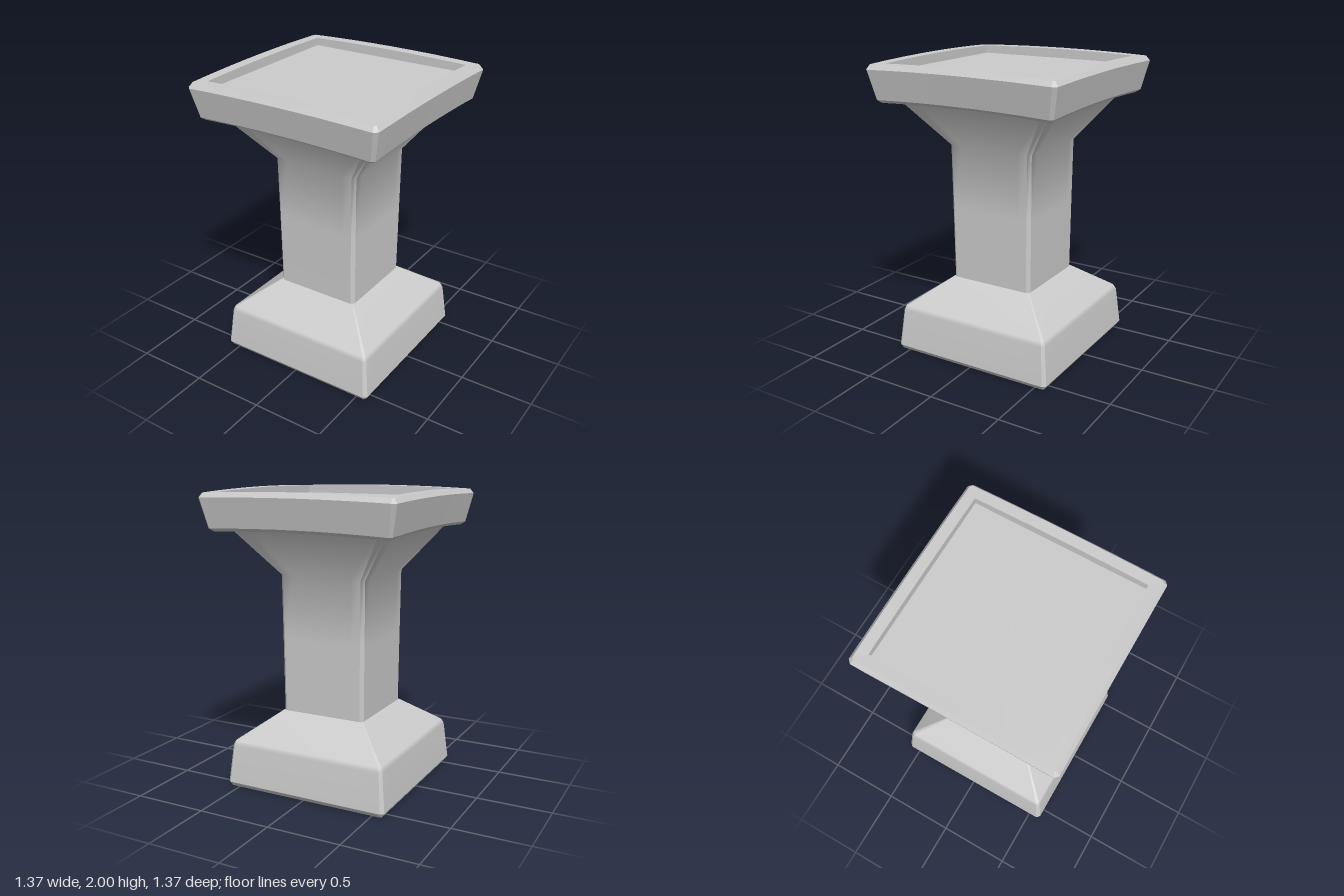
import * as THREE from 'three';
import { mergeGeometries } from 'three/addons/utils/BufferGeometryUtils.js';

// Grid of points -> indexed patch; smooth inside, sharp at its borders
function patch(rows) {
  const n = rows[0].length, index = [];
  for (let r = 0; r < rows.length - 1; r++) {
    for (let i = 0; i < n - 1; i++) {
      const a = r * n + i, d = a + n;
      index.push(a, a + 1, d + 1, a, d + 1, d);
    }
  }
  const geo = new THREE.BufferGeometry();
  geo.setAttribute('position', new THREE.Float32BufferAttribute(rows.flat(2), 3));
  geo.setIndex(index);
  geo.computeVertexNormals();
  return geo;
}

// Loft of square rings with cut corners. Each band is a list of rings
// [y, half width, corner cut, bow of the edge midpoint]; bands meet at a hard edge.
function loft(name, bands, material) {
  const parts = [];
  for (const band of bands) {
    const face = patch(band.map(([y, h, c, bow = 0]) => {
      const row = [];
      for (let i = 0; i <= 8; i++) {
        const t = i / 4 - 1;
        row.push([t * (h - c), y + bow * (1 - t * t), h]);
      }
      return row;
    }));
    const corner = patch(band.map(([y, h, c]) => [[h - c, y, h], [h, y, h - c]]));
    const cut = band.some((ring) => ring[2] > 0);
    for (let k = 0; k < 4; k++) {
      parts.push(face.clone().rotateY(k * Math.PI / 2));
      if (cut) parts.push(corner.clone().rotateY(k * Math.PI / 2));
    }
  }
  const mesh = new THREE.Mesh(mergeGeometries(parts), material);
  mesh.name = name;
  return mesh;
}

export function createModel() {
  const group = new THREE.Group();
  group.name = 'pedestal';
  const stone = new THREE.MeshStandardMaterial({ color: 0xcccccc });

  // Tapered foot with sloping shoulders
  group.add(loft('base', [
    [[0, 0, 0], [0, 0.565, 0.01]],
    [[0, 0.565, 0.01], [0.03, 0.585, 0.022]],
    [[0.03, 0.585, 0.022], [0.29, 0.557, 0.018], [0.32, 0.543, 0.015], [0.505, 0.3, 0.004]],
    [[0.505, 0.3, 0.004], [0.505, 0.25, 0]],
  ], stone));

  // Shaft flaring smoothly into the capital
  group.add(loft('column', [
    [[0.5, 0.3, 0.022], [1.0, 0.304, 0.022], [1.44, 0.308, 0.022], [1.77, 0.56, 0.035]],
  ], stone));

  // Slightly bowed slab with bevelled rim and a sunken tray
  const lower = [1.74, 0.615, 0.01, 0.015], underEdge = [1.76, 0.643, 0.02, 0.015];
  const upperEdge = [1.955, 0.685, 0.024, 0.012], rim = [1.986, 0.662, 0.012, 0.014];
  const lip = [1.988, 0.59, 0, 0.01], floor = [1.935, 0.59, 0];
  group.add(loft('topSlab', [
    [[1.755, 0, 0], [1.745, 0.5, 0, 0.012], lower],
    [lower, underEdge],
    [underEdge, upperEdge],
    [upperEdge, rim],
    [rim, lip],
    [lip, floor],
    [floor, [1.935, 0, 0]],
  ], stone));

  return group;
}
